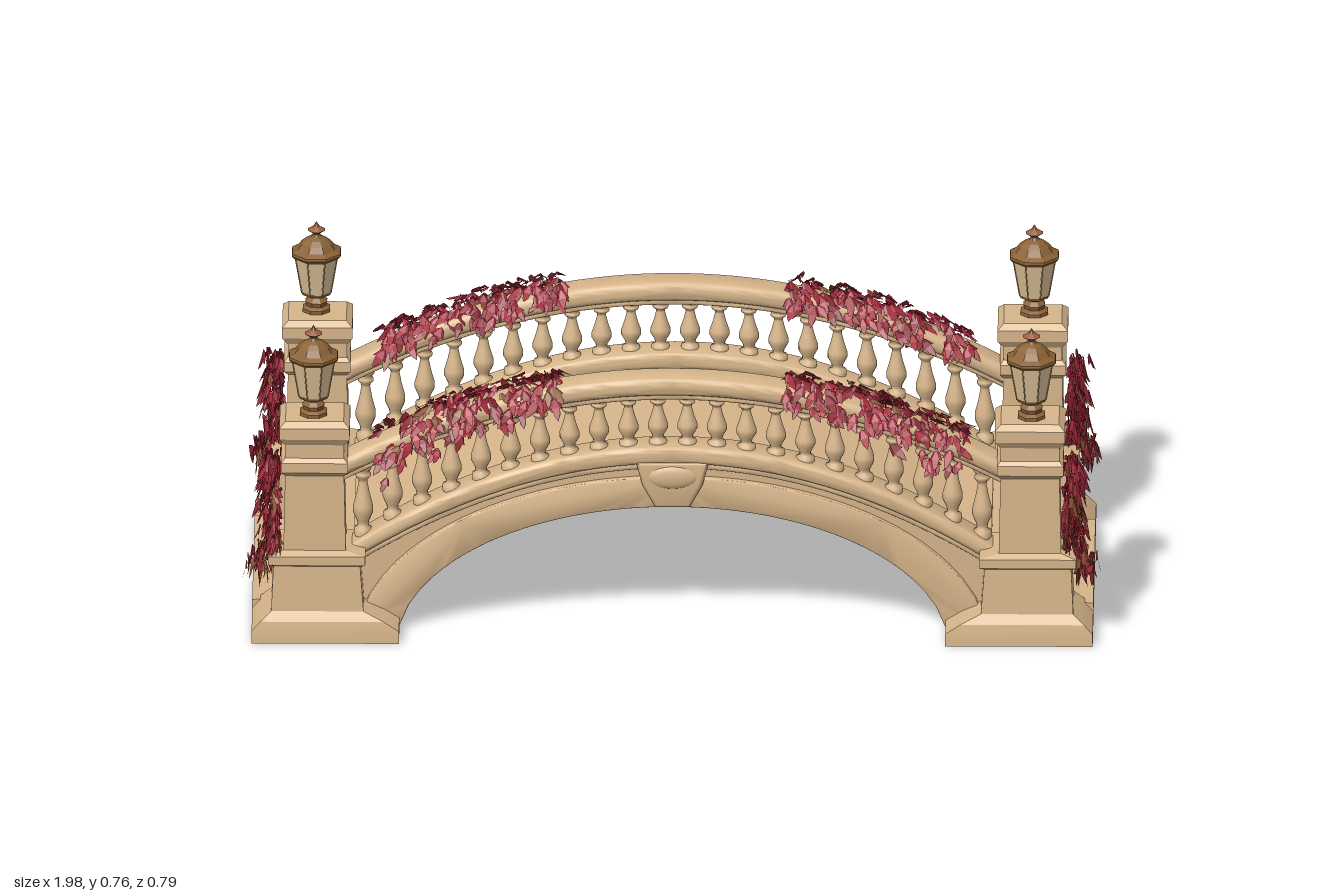
import * as THREE from 'three';
import { mergeGeometries, toCreasedNormals } from 'three/addons/utils/BufferGeometryUtils.js';

const mat = (name, color, extra = {}) => {
  const m = new THREE.MeshStandardMaterial({ color, ...extra });
  m.name = name;
  return m;
};

// Curves of the bridge, as heights over x
const deckTop = x => 0.395 - 0.135 * (x / 0.655) ** 2;
const railTop = x => 0.638 - 0.19 * (x / 0.73) ** 2;
const corniceTop = x => 0.465 - 0.24 * (x / 0.73) ** 2;
const ellipse = (x, a, b) => Math.max(0, -0.05 + b * Math.sqrt(Math.max(0, 1 - (x / a) ** 2)));
const archUnder = x => ellipse(x, 0.64, 0.36);
const archOuter = x => ellipse(x, 0.735, 0.435);

// Points along a curve from x0 to x1
const along = (fn, x0, x1, n = 48) =>
  Array.from({ length: n + 1 }, (_, i) => {
    const x = x0 + (x1 - x0) * i / n;
    return new THREE.Vector2(x, fn(x));
  });

// Side outline extruded between two depths
function slab(points, z0, z1, bevel = 0) {
  const g = new THREE.ExtrudeGeometry(new THREE.Shape(points), {
    depth: z1 - z0 - 2 * bevel, bevelEnabled: bevel > 0, bevelSize: bevel,
    bevelThickness: bevel, bevelOffset: -bevel, bevelSegments: 4,
  });
  g.translate(0, 0, z0 + bevel);
  return toCreasedNormals(g, 0.6);
}

// Stack of rectangles [y, x0, x1, z0, z1], mirrored by signs
function stack(levels, sx, sz) {
  const pos = [], idx = [];
  levels.forEach(([y, a, b, c, d]) => {
    const x = [a * sx, b * sx].sort((p, q) => p - q), z = [c * sz, d * sz].sort((p, q) => p - q);
    pos.push(x[0], y, z[1], x[1], y, z[1], x[1], y, z[0], x[0], y, z[0]);
  });
  const top = (levels.length - 1) * 4;
  for (let r = 0; r < top; r += 4) for (let i = 0; i < 4; i++) {
    const j = (i + 1) % 4;
    idx.push(r + i, r + j, r + 4 + j, r + i, r + 4 + j, r + 4 + i);
  }
  idx.push(0, 2, 1, 0, 3, 2, top, top + 1, top + 2, top, top + 2, top + 3);
  const g = new THREE.BufferGeometry();
  g.setAttribute('position', new THREE.Float32BufferAttribute(pos, 3));
  g.setIndex(idx);
  return toCreasedNormals(g, 0.2);
}

const lathe = (pts, n) => new THREE.LatheGeometry(pts.map(([r, y]) => new THREE.Vector2(r, y)), n);

const PILLAR = [
  [0, 0.63, 0.97, 0.222, 0.385], [0.03, 0.63, 0.97, 0.222, 0.384], [0.052, 0.665, 0.95, 0.222, 0.38],
  [0.073, 0.712, 0.925, 0.226, 0.366], [0.183, 0.72, 0.92, 0.228, 0.36],
  [0.19, 0.708, 0.932, 0.216, 0.373], [0.212, 0.708, 0.932, 0.216, 0.373],
  [0.222, 0.753, 0.897, 0.233, 0.357], [0.408, 0.757, 0.893, 0.236, 0.355],
  [0.418, 0.749, 0.902, 0.228, 0.363], [0.442, 0.749, 0.902, 0.228, 0.363],
  [0.452, 0.757, 0.893, 0.236, 0.355], [0.485, 0.757, 0.893, 0.236, 0.355],
  [0.503, 0.744, 0.906, 0.225, 0.366], [0.53, 0.744, 0.906, 0.225, 0.366],
  [0.543, 0.758, 0.892, 0.239, 0.352],
];

// Three-lobed pointed leaf, growing along +y and folded at the midrib
function leafGeometry() {
  const outline = [[0, 0], [0.17, 0.08], [0.31, 0.42], [0.18, 0.42], [0.13, 0.75], [0, 1],
    [-0.13, 0.75], [-0.18, 0.42], [-0.31, 0.42], [-0.17, 0.08]];
  const g = new THREE.ShapeGeometry(new THREE.Shape(outline.map(p => new THREE.Vector2(...p))));
  const p = g.attributes.position;
  for (let i = 0; i < p.count; i++) p.setZ(i, -Math.abs(p.getX(i)) * 0.6 - 0.2 * p.getY(i) ** 2);
  g.computeVertexNormals();
  return g;
}

export function createModel() {
  const model = new THREE.Group();
  model.name = 'gardenBridge';
  const stone = mat('sandstone', 0xd8b68b);
  const bronze = mat('bronze', 0x8a6236, { flatShading: true });
  const copper = mat('copperFinial', 0x9c6040, { flatShading: true });
  const brass = mat('lanternFrame', 0xa98a5e);
  const glass = mat('lanternGlass', 0xdac096, { flatShading: true });
  const leafMats = [mat('crimsonLeaf', 0xa42a3b), mat('darkRedLeaf', 0x8a2631), mat('brownLeaf', 0x8f5a3a)];
  leafMats.forEach(m => { m.side = THREE.DoubleSide; m.flatShading = true; });
  const add = (name, geo, material, parent = model) => {
    const m = new THREE.Mesh(geo, material);
    m.name = name;
    parent.add(m);
    return m;
  };
  let seed = 7;
  const rnd = () => (seed = (seed * 16807) % 2147483647) / 2147483647;
  const spread = s => (rnd() * 2 - 1) * s;

  // Deck with steps at both ends and the vault below
  const steps = [[0.97, 0], [0.97, 0.05], [0.865, 0.056], [0.865, 0.113], [0.8, 0.118], [0.8, 0.163],
    [0.735, 0.168], [0.735, 0.208], [0.655, 0.213]];
  add('deckAndSteps', slab([
    ...steps.map(([x, y]) => new THREE.Vector2(x, y)),
    ...along(deckTop, 0.655, -0.655),
    ...steps.slice().reverse().map(([x, y]) => new THREE.Vector2(-x, y)),
    ...along(archUnder, -0.634, 0.634),
  ], -0.245, 0.245), stone);

  // Balustrade profile, one geometry for all
  const balusterGeo = lathe([[0.021, 0], [0.021, 0.1], [0.012, 0.13], [0.014, 0.2], [0.023, 0.32],
    [0.023, 0.42], [0.015, 0.6], [0.01, 0.76], [0.011, 0.8], [0.018, 0.84], [0.018, 0.88],
    [0.013, 0.91], [0.02, 0.95], [0.02, 1]], 12);

  for (const sz of [1, -1]) {
    const side = new THREE.Group();
    side.name = sz > 0 ? 'frontSide' : 'backSide';
    model.add(side);
    const band = (name, pts, z0, z1, bevel) =>
      add(name, slab(pts, Math.min(z0 * sz, z1 * sz), Math.max(z0 * sz, z1 * sz), bevel), stone, side);
    const strip = (top, thick, end) =>
      [...along(top, end, -end), ...along(x => top(x) - thick, -end, end)];
    band('spandrelWall', [new THREE.Vector2(0.74, 0), ...along(x => corniceTop(x) - 0.01, 0.74, -0.74),
      new THREE.Vector2(-0.74, 0), ...along(archUnder, -0.634, 0.634)], 0.242, 0.288);
    band('archBand', [...along(archOuter, 0.73, -0.73), ...along(archUnder, -0.634, 0.634)], 0.25, 0.302, 0.004);
    band('cornice', strip(corniceTop, 0.042, 0.765), 0.236, 0.318, 0.012);
    band('corniceFillet', strip(x => corniceTop(x) - 0.038, 0.02, 0.75), 0.244, 0.302, 0.004);
    band('handrail', strip(railTop, 0.046, 0.77), 0.238, 0.318, 0.017);
    band('railFillet', strip(x => railTop(x) - 0.04, 0.018, 0.765), 0.252, 0.304, 0.004);
    // Keystone with a raised scroll
    band('keystone', [[-0.04, 0.315], [0.04, 0.315], [0.07, 0.37], [0.085, 0.43], [-0.085, 0.43], [-0.07, 0.37]]
      .map(p => new THREE.Vector2(...p)), 0.27, 0.32, 0.012);
    const scroll = add('keystoneScroll', new THREE.SphereGeometry(1, 16, 12), stone, side);
    scroll.scale.set(0.062, 0.03, 0.014);
    scroll.position.set(0, 0.392, 0.314 * sz);
    // Balusters
    for (let i = 0; i < 22; i++) {
      const x = -0.714 + i * 0.068, y = corniceTop(x) - 0.006;
      const b = add('baluster', balusterGeo, stone, side);
      b.position.set(x, y, 0.278 * sz);
      b.scale.y = railTop(x) - 0.052 - y;
    }
  }

  // Pillars with lanterns
  const lanternParts = [
    ['lanternFoot', lathe([[0.034, 0.54], [0.034, 0.551], [0.024, 0.557], [0.027, 0.567], [0.017, 0.577],
      [0.034, 0.585], [0.037, 0.592], [0, 0.592]], 8), bronze],
    ['lanternGlass', lathe([[0.036, 0.59], [0.052, 0.68]], 8), glass],
    ['lanternRoof', lathe([[0, 0.678], [0.054, 0.678], [0.061, 0.686], [0.06, 0.692], [0.046, 0.699],
      [0.036, 0.712], [0.024, 0.722], [0.012, 0.728], [0.008, 0.734]], 8), bronze],
    ['lanternFinial', lathe([[0.008, 0.731], [0.009, 0.736], [0.021, 0.744], [0.008, 0.752], [0.004, 0.758], [0, 0.765]], 8), copper],
  ];
  const post = new THREE.CylinderGeometry(0.0018, 0.0018, 0.09, 5);
  for (const sx of [1, -1]) for (const sz of [1, -1]) {
    add('pillar', stack(PILLAR, sx, sz), stone);
    const lantern = new THREE.Group();
    lantern.name = 'lantern';
    lantern.position.set(0.828 * sx, 0, 0.303 * sz);
    lantern.rotation.y = Math.PI / 8;
    model.add(lantern);
    lanternParts.forEach(([n, g, m]) => add(n, g, m, lantern));
    for (let i = 0; i < 8; i++) {
      const pivot = new THREE.Group();
      pivot.name = 'lanternPost';
      pivot.rotation.y = i * Math.PI / 4;
      lantern.add(pivot);
      const p = add('lanternPost', post, brass, pivot);
      p.position.set(0, 0.635, 0.044);
      p.rotation.x = 0.176;
    }
  }

  // Red creeper, gathered into one mesh per leaf colour
  const leaf = leafGeometry(), bins = [[], [], []];
  const placeLeaf = (pos, dir, out, size, brownness) => {
    const d = dir.clone().normalize(), s = new THREE.Vector3().crossVectors(d, out).normalize();
    const n = new THREE.Vector3().crossVectors(s, d);
    const m = new THREE.Matrix4().makeBasis(s, d, n).scale(new THREE.Vector3(size, size, size)).setPosition(pos);
    const k = rnd();
    bins[k < brownness ? 2 : k < brownness + 0.25 ? 1 : 0].push(leaf.clone().applyMatrix4(m));
  };
  const V = (x, y, z) => new THREE.Vector3(x, y, z);
  for (const sx of [1, -1]) for (const sz of [1, -1]) {
    // Swag hanging on the outer face of the pillar, tapering to an outward tail
    for (let i = 0; i < 190; i++) {
      const t = Math.pow(rnd(), 1.2), y = 0.445 - 0.26 * t;
      const half = 0.062 * Math.min(1, 0.55 + 2.5 * t) * (t > 0.5 ? 1 - (t - 0.5) * 1.6 : 1);
      const across = spread(1), z = 0.3 + 0.035 * t * t + across * half;
      const depth = 0.9 + (y < 0.23 ? 0.03 : 0) + (0.01 + 0.045 * rnd()) * (1 - 0.6 * across * across);
      placeLeaf(V(depth * sx, y, z * sz), V((0.45 - 0.25 * t + spread(0.3)) * sx, -1, (across * 0.5 + spread(0.35)) * sz),
        V(sx, 0.6 + spread(0.4), spread(0.5)), 0.042 + 0.024 * rnd(), 0.03 + 0.35 * t ** 3);
    }
    // Garland lying over the handrail, spilling further on the outer side
    for (let i = 0; i < 230; i++) {
      const t = rnd(), x = 0.26 + 0.42 * t, a = spread(1.6), r = 0.034 + 0.028 * rnd();
      const drop = a > 0.9 ? rnd() * rnd() * (0.03 + 0.08 * t) : 0;
      const pos = V(x * sx, railTop(x) - 0.012 + Math.cos(a) * r * 0.8 - drop, (0.284 + Math.sin(a) * r * 1.2) * sz);
      placeLeaf(pos, V(spread(0.8) + 0.2 * sx, -0.15 - 0.5 * Math.abs(Math.sin(a)), (Math.sin(a) * 0.9 + spread(0.5)) * sz),
        V(spread(0.4), Math.cos(a) + 0.6, Math.sin(a) * sz), 0.034 + 0.02 * rnd(), 0.05);
    }
  }
  bins.forEach((b, i) => add(['crimsonLeaves', 'darkRedLeaves', 'brownLeaves'][i], mergeGeometries(b), leafMats[i]));
  return model;
}
